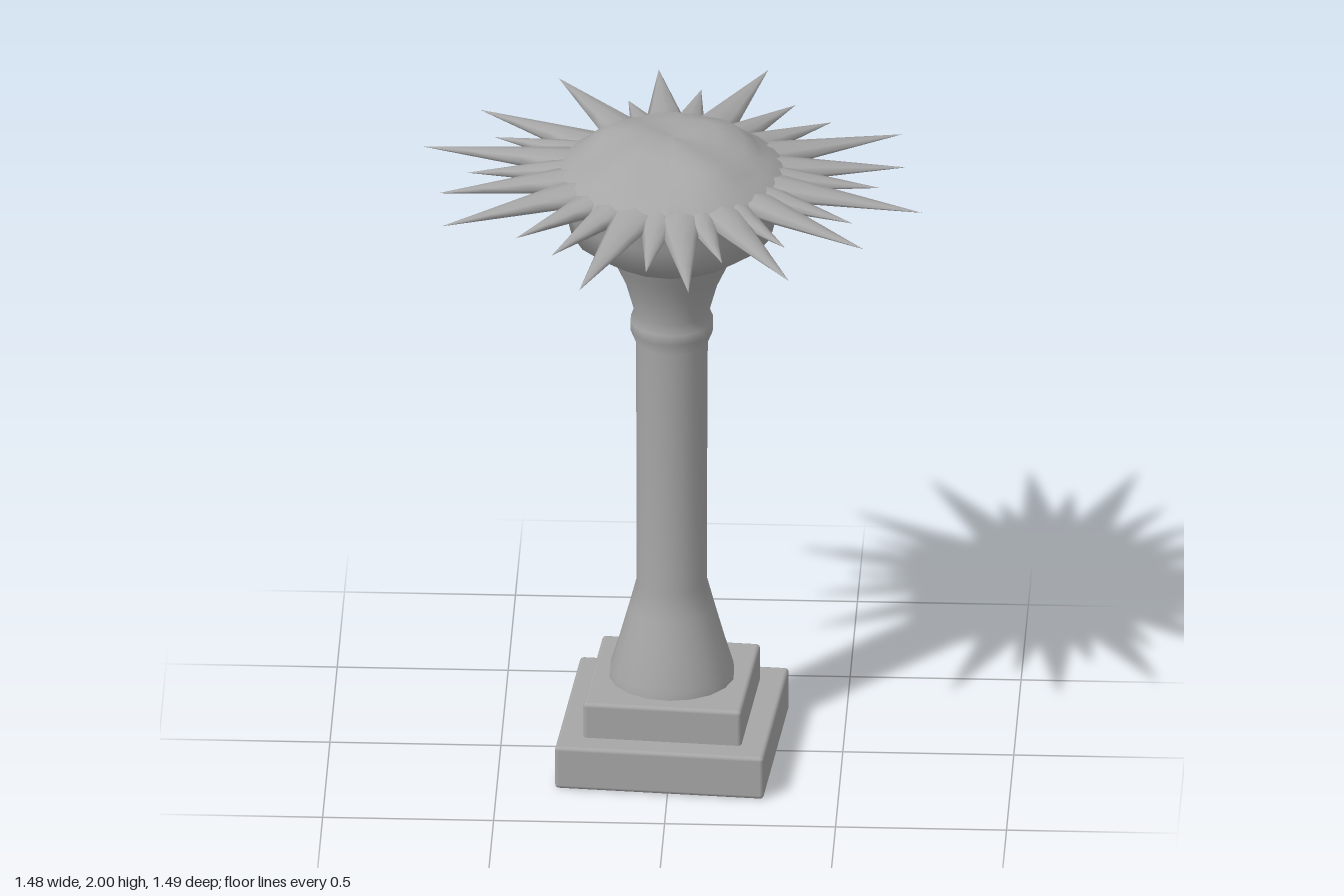
import * as THREE from 'three';
import { RoundedBoxGeometry } from 'three/addons/geometries/RoundedBoxGeometry.js';

export function createModel() {
  const model = new THREE.Group();
  const stone = new THREE.MeshStandardMaterial({ color: 0xa6a6a6 });
  stone.name = 'grey stone';

  function add(name, geometry, parent = model) {
    const mesh = new THREE.Mesh(geometry, stone);
    mesh.name = name;
    parent.add(mesh);
    return mesh;
  }
  const lathe = (points, sides) =>
    new THREE.LatheGeometry(points.map(([r, y]) => new THREE.Vector2(r, y)), sides);

  // Two square steps, turned slightly
  function step(name, width, bottom, top) {
    const mesh = add(name, new RoundedBoxGeometry(width, top - bottom, width, 2, 0.012));
    mesh.position.y = (bottom + top) / 2;
    mesh.rotation.y = -0.08;
  }
  step('lowerStep', 0.615, 0, 0.135);
  step('upperStep', 0.465, 0.12, 0.245);

  // Column with a flared foot, a collar and a flared neck
  add('column', lathe([
    [0.185, 0.23], [0.182, 0.27], [0.155, 0.36], [0.125, 0.47], [0.104, 0.55],
    [0.104, 0.9], [0.106, 1.33], [0.122, 1.37], [0.122, 1.4], [0.11, 1.43],
    [0.135, 1.52], [0.165, 1.585], [0.19, 1.64],
  ], 18));

  // Bowl-shaped capital
  add('bowl', lathe([
    [0, 1.61], [0.16, 1.612], [0.2, 1.625], [0.295, 1.69], [0.315, 1.77], [0.335, 1.84],
  ], 18));

  // Domed flower centre, with an uneven upper surface
  const dome = lathe([
    [0.32, 1.835], [0.355, 1.85], [0.35, 1.865], [0.32, 1.895], [0.285, 1.91],
    [0.255, 1.935], [0.21, 1.965], [0.14, 1.988], [0.07, 1.99], [0, 1.985],
  ], 30);
  const pos = dome.attributes.position;
  for (let i = 0; i < pos.count; i++) {
    const x = pos.getX(i), z = pos.getZ(i), y = pos.getY(i);
    if (y > 1.9) {
      pos.setY(i, Math.min(2, y + 0.014 * Math.sin(17 * x + 2) * Math.cos(19 * z - 1)));
    }
  }
  dome.computeVertexNormals();
  add('flowerCentre', dome);

  // Pointed petals, each a flattened spike given by its tip (x, z)
  const tips = [
    [0.25, -0.75], [-0.07, -0.74], [-0.36, -0.67], [-0.58, -0.45], [-0.53, -0.27],
    [-0.74, -0.2], [-0.6, -0.03], [-0.68, 0.11], [-0.66, 0.33], [-0.44, 0.4],
    [-0.33, 0.51], [-0.24, 0.74], [-0.05, 0.61], [0.08, 0.74], [0.17, 0.54],
    [0.37, 0.65], [0.35, 0.43], [0.58, 0.43], [0.54, 0.26], [0.74, 0.18],
    [0.61, 0.02], [0.68, -0.12], [0.66, -0.34], [0.45, -0.41], [0.34, -0.52],
    [0.06, -0.61], [-0.15, -0.53],
  ];
  const petals = new THREE.Group();
  petals.name = 'petals';
  model.add(petals);
  for (const [x, z] of tips) {
    const reach = Math.hypot(x, z);
    const start = 0.29;
    const length = reach - start;
    const spike = new THREE.ConeGeometry(1, length, 8, 3);
    spike.translate(0, length / 2, 0);
    spike.rotateX(Math.PI / 2);
    spike.scale(0.03 + 0.085 * length, 0.034, 1);
    // Root sits higher than the tip
    const p = spike.attributes.position;
    for (let i = 0; i < p.count; i++) {
      p.setY(i, p.getY(i) + 0.022 * (1 - p.getZ(i) / length));
    }
    spike.computeVertexNormals();
    const mesh = add('petal', spike, petals);
    const angle = Math.atan2(x, z);
    mesh.position.set(start * Math.sin(angle), 1.846, start * Math.cos(angle));
    mesh.rotation.y = angle;
  }

  return model;
}
